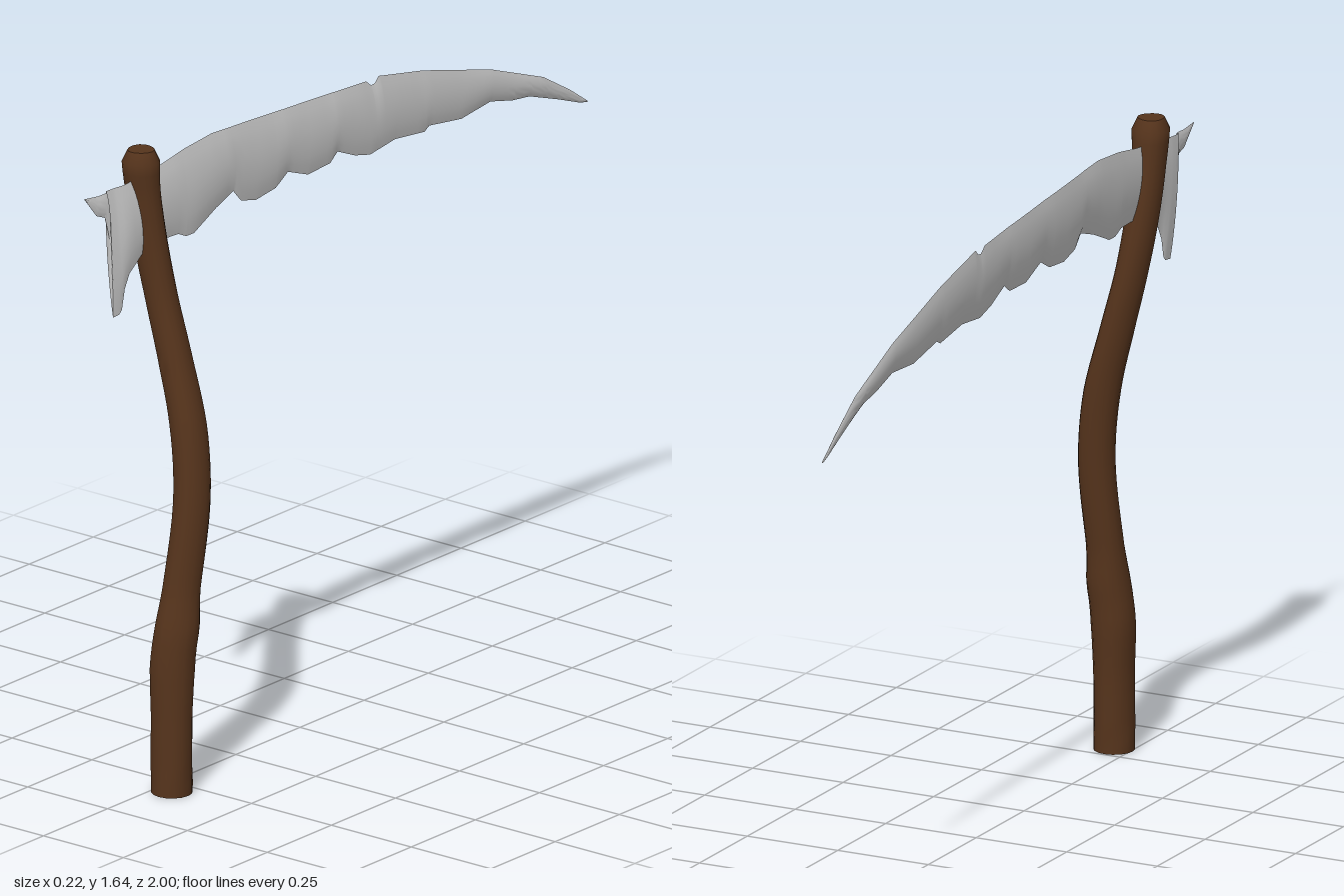
import * as THREE from 'three';
import { mergeVertices, toCreasedNormals } from 'three/addons/utils/BufferGeometryUtils.js';

// Linear lookup in rows sorted by ascending first entry
function lookup(rows, t, col = 1) {
  let i = 0;
  while (i < rows.length - 2 && t > rows[i + 1][0]) i++;
  const a = rows[i], b = rows[i + 1];
  const k = THREE.MathUtils.clamp((t - a[0]) / (b[0] - a[0]), 0, 1);
  return a[col] + (b[col] - a[col]) * k;
}

// Crooked branch: height, centre x, centre z, radius
const branch = [
  [0, 0.045, 0.805, 0.051], [0.2, 0.045, 0.804, 0.051], [0.33, 0.044, 0.8, 0.056],
  [0.42, 0.05, 0.796, 0.053], [0.52, 0.055, 0.782, 0.047], [0.75, 0.066, 0.756, 0.046],
  [0.93, 0.047, 0.745, 0.046], [1.1, 0.004, 0.742, 0.043], [1.25, -0.033, 0.747, 0.041],
  [1.4, -0.057, 0.761, 0.042], [1.53, -0.067, 0.777, 0.043], [1.6, -0.068, 0.785, 0.047],
];

function makeHandle(material) {
  const height = 1.637, capFrom = 1.605;
  const curve = new THREE.CatmullRomCurve3(branch.map(([y, x, z]) => new THREE.Vector3(x, y, z)));
  const samples = curve.getPoints(120).map((p) => [p.y, p.x, p.z]);
  const geo = new THREE.CylinderGeometry(1, 1, height, 16, 56);
  const pos = geo.attributes.position;
  for (let i = 0; i < pos.count; i++) {
    const y = pos.getY(i) + height / 2, ux = pos.getX(i), uz = pos.getZ(i);
    const angle = Math.atan2(uz, ux);
    let r = lookup(branch, y, 3);
    // Uneven bark and a knot on the side
    if (y > 0.05) r += 0.0015 * Math.sin(3 * angle + 5 * y);
    const knot = Math.exp(-(((y - 0.43) / 0.05) ** 2));
    r += 0.006 * knot * Math.max(0, Math.cos(angle + 1));
    // Rounded top end
    if (y > capFrom) r -= 0.014 * ((y - capFrom) / (height - capFrom)) ** 2;
    pos.setXYZ(i, lookup(samples, y, 1) + ux * r, y, lookup(samples, y, 2) + uz * r);
  }
  geo.deleteAttribute('uv');
  geo.deleteAttribute('normal');
  const mesh = new THREE.Mesh(toCreasedNormals(mergeVertices(geo), 0.8), material);
  mesh.name = 'handle';
  return mesh;
}

// Blade back (z, y), with one small notch
const spine = [
  [-1, 1.252], [-0.93, 1.3], [-0.82, 1.365], [-0.61, 1.445], [-0.34, 1.52], [-0.16, 1.557],
  [-0.145, 1.543], [-0.13, 1.541], [-0.11, 1.557], [0.03, 1.568], [0.35, 1.59], [0.51, 1.601],
  [0.62, 1.592], [0.71, 1.577], [0.85, 1.562], [0.95, 1.56], [1, 1.566],
];
// Ragged cutting edge (z, y), ending in the hooked prong and rear point
const edge = [
  [-1, 1.248], [-0.97, 1.255], [-0.88, 1.29], [-0.76, 1.333], [-0.69, 1.343], [-0.6, 1.366],
  [-0.48, 1.356], [-0.35, 1.376], [-0.33, 1.366], [-0.21, 1.381], [-0.11, 1.37], [-0.05, 1.385],
  [0.02, 1.415], [0.05, 1.394], [0.14, 1.39], [0.22, 1.42], [0.27, 1.393], [0.35, 1.385],
  [0.41, 1.4], [0.44, 1.433], [0.51, 1.41], [0.6, 1.371], [0.63, 1.371], [0.66, 1.385],
  [0.71, 1.387], [0.79, 1.378], [0.85, 1.335], [0.868, 1.3], [0.88, 1.25], [0.89, 1.24],
  [0.912, 1.238], [0.916, 1.44], [0.93, 1.5], [0.96, 1.512], [1, 1.564],
];
// Blade sideways sweep and half thickness along z
const sweep = [
  [-1, -0.105, 0.002], [-0.8, -0.095, 0.007], [-0.4, -0.083, 0.01], [0, -0.073, 0.012],
  [0.6, -0.058, 0.013], [0.85, -0.06, 0.011], [0.95, -0.068, 0.005], [1, -0.072, 0.001],
];

function makeBlade(material) {
  const stations = new Set([...spine, ...edge].map((p) => p[0]));
  for (let k = 0; k <= 60; k++) stations.add(+(-1 + k / 30).toFixed(3));
  const zs = [...stations].sort((a, b) => a - b);
  const half = 8, around = half * 2, verts = [], index = [];
  // Lens-shaped sections, spine down one face and back up the other
  for (const z of zs) {
    const top = lookup(spine, z), bottom = lookup(edge, z);
    for (let j = 0; j < around; j++) {
      const v = j <= half ? j / half : 2 - j / half;
      const y = top + (bottom - top) * v;
      const bulge = lookup(sweep, z, 2) * Math.sin(Math.PI * v) ** 0.8;
      const lean = -0.07 * (y - (top + bottom) / 2);
      verts.push(lookup(sweep, z, 1) + lean + (j < half ? bulge : -bulge), y, z);
    }
  }
  for (let i = 0; i < zs.length - 1; i++) {
    for (let j = 0; j < around; j++) {
      const a = i * around + j, b = i * around + (j + 1) % around;
      index.push(a, a + around, b, b, a + around, b + around);
    }
  }
  const geo = new THREE.BufferGeometry();
  geo.setAttribute('position', new THREE.Float32BufferAttribute(verts, 3));
  geo.setIndex(index);
  const mesh = new THREE.Mesh(toCreasedNormals(geo, 0.6), material);
  mesh.name = 'blade';
  return mesh;
}

export function createModel() {
  const wood = new THREE.MeshStandardMaterial({ color: 0x56341c });
  const steel = new THREE.MeshStandardMaterial({ color: 0xcccccc, side: THREE.DoubleSide });
  const group = new THREE.Group();
  group.name = 'scythe';
  group.add(makeHandle(wood), makeBlade(steel));
  return group;
}
